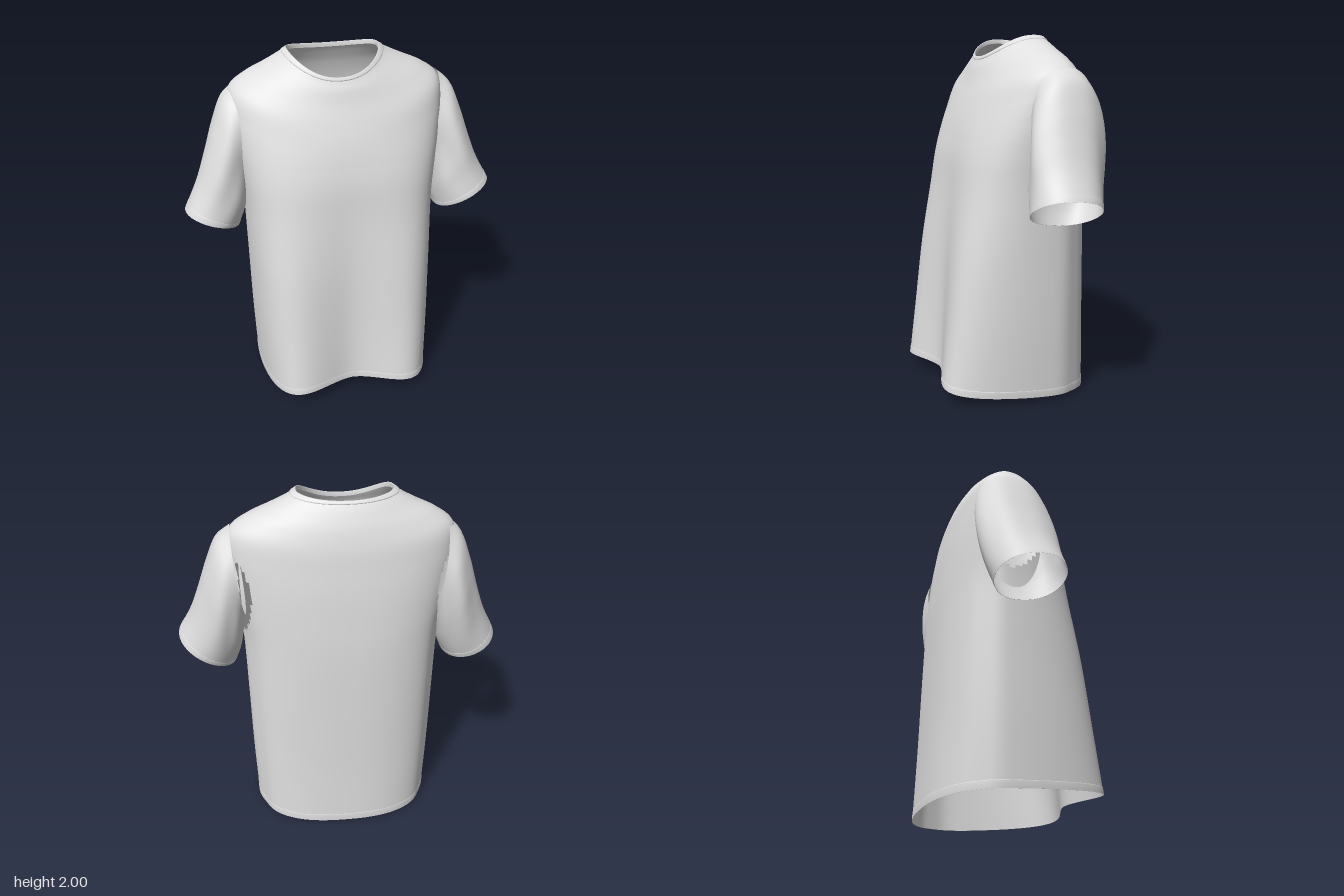
import * as THREE from 'three';

const fabric = new THREE.MeshStandardMaterial({ color: 0xdfdfdf, side: THREE.DoubleSide });
fabric.name = 'light grey fabric';

// Skin a list of closed rings with smooth normals, leaving out faces inside an opening
function loft(name, rings, isOpen = () => false) {
  const n = rings[0].length, points = rings.flat(), index = [];
  for (let i = 0; i < rings.length - 1; i++) {
    for (let j = 0; j < n; j++) {
      const a = i * n + j, b = i * n + (j + 1) % n;
      if (!isOpen(points[a])) index.push(a, b, b + n, a, b + n, a + n);
    }
  }
  const geometry = new THREE.BufferGeometry().setFromPoints(points);
  geometry.setIndex(index);
  geometry.computeVertexNormals();
  const mesh = new THREE.Mesh(geometry, fabric);
  mesh.name = name;
  return mesh;
}

// Smooth interpolation through rows of section parameters
function sampler(rows) {
  const cubic = new THREE.CubicInterpolant(rows.map((_, i) => i), rows.flat(), rows[0].length);
  return t => Array.from(cubic.evaluate(Math.min(t, rows.length - 1)));
}

// Steps from a to b, inclusive
const steps = (a, b, n) => Array.from({ length: n + 1 }, (_, i) => a + (b - a) * i / n);
const signedPow = (v, p) => Math.sign(v) * Math.abs(v) ** p;

// Torso: side y, front y, back y, half width, middle z, front z, back z, front folds, squareness
const torsoRows = [
  [0.025, 0.088, 0.003, 0.52, -0.1, 0.365, -0.448, 0.16, 0.8],
  [0.4, 0.42, 0.4, 0.532, -0.1, 0.35, -0.435, 0.125, 0.8],
  [0.8, 0.8, 0.8, 0.538, -0.1, 0.33, -0.427, 0.09, 0.8],
  [1.15, 1.13, 1.15, 0.545, -0.1, 0.303, -0.417, 0.05, 0.8],
  [1.35, 1.32, 1.36, 0.563, -0.11, 0.287, -0.402, 0.025, 0.79],
  [1.51, 1.45, 1.51, 0.584, -0.12, 0.262, -0.388, 0.01, 0.82],
  [1.68, 1.56, 1.63, 0.602, -0.135, 0.232, -0.372, 0, 0.9],
  [1.8, 1.66, 1.74, 0.585, -0.14, 0.195, -0.355, 0, 0.95],
  [1.872, 1.75, 1.835, 0.495, -0.14, 0.158, -0.328, 0, 1],
  [1.923, 1.82, 1.903, 0.385, -0.14, 0.133, -0.297, 0, 1],
  [1.962, 1.855, 1.943, 0.305, -0.14, 0.115, -0.273, 0, 0.95],
  [1.993, 1.883, 1.968, 0.252, -0.13, 0.1, -0.253, 0, 0.9],
];
const torsoAt = sampler(torsoRows);

function torsoRing(t, grow = 0, lift = 0) {
  const [ySide, yFront, yBack, w, zMid, zFront, zBack, fold, p] = torsoAt(t);
  const shift = -0.014 - 0.016 * THREE.MathUtils.smoothstep(t, 7, 11);
  const drape = 1 - THREE.MathUtils.smoothstep(t, 2, 6);
  const slope = 1 + THREE.MathUtils.smoothstep(t, 0, 5);
  return steps(0, Math.PI * 2, 120).slice(0, -1).map(a => {
    const s = Math.sin(a), c = Math.cos(a);
    const zEnd = c > 0 ? zFront + grow : zBack - grow;
    let z = zMid + (zEnd - zMid) * Math.abs(c) ** p;
    // two soft lobes hang down the front, one shallow valley down each side
    if (c > 0) z += fold * Math.abs(Math.sin(2 * a)) ** 1.3;
    const valley = 0.012 * drape * Math.exp(-(((c + 0.4) / 0.18) ** 2));
    const x = shift + (w + grow - valley) * signedPow(s, p);
    const y = ySide + ((c > 0 ? yFront : yBack) - ySide) * Math.abs(c) ** slope + lift;
    return new THREE.Vector3(x, y, z);
  });
}

// Armholes where the sleeves join
const inArmhole = ({ x, y, z }) =>
  Math.abs(x) > 0.4 && ((y - 1.47) / 0.26) ** 2 + ((z + 0.13) / 0.16) ** 2 < 1;

// Sleeve: outer x, y, inner x, y, centre z, half depth
const sleeveRows = [
  [0.565, 1.818, 0.51, 1.32, -0.14, 0.185],
  [0.645, 1.748, 0.52, 1.26, -0.135, 0.203],
  [0.705, 1.61, 0.53, 1.2, -0.122, 0.212],
  [0.757, 1.46, 0.541, 1.13, -0.102, 0.21],
  [0.815, 1.31, 0.556, 1.07, -0.083, 0.2],
  [0.89, 1.17, 0.58, 1.003, -0.06, 0.19],
];
const sleeveAt = sampler(sleeveRows);

function sleeveRing(t, side, grow = 0) {
  const [ox, oy, ix, iy, zc, depth] = sleeveAt(t);
  // the right sleeve hangs slightly lower and further back
  const k = t / 5, sag = side < 0 ? k * k : 0;
  const cx = (ox + ix) / 2 + 0.012 * sag, cy = (oy + iy) / 2 - 0.03 * sag;
  const ex = (ox - ix) / 2 - 0.005 * sag, ey = (oy - iy) / 2 - 0.03 * sag;
  return steps(0, Math.PI * 2, 56).slice(0, -1).map(a => {
    const c = Math.cos(a), s = signedPow(Math.sin(a), 0.9) * side;
    // creases gather below the shoulder and relax at the cuff
    const crease = 0.04 * Math.sin(Math.PI * k) * Math.sin(5 * a * side + 1.2 + k * 2) * s * s;
    const r = 1 + grow / depth + crease;
    return new THREE.Vector3(
      side * (cx + ex * c * r),
      cy + ey * c * r + 0.12 * k * depth * s,
      zc - 0.025 * sag + depth * s * r);
  });
}

export function createModel() {
  const shirt = new THREE.Group();
  shirt.name = 'shortSleeveShirt';

  shirt.add(loft('torso', steps(0, 11, 132).map(t => torsoRing(t)), inArmhole));

  // Hem band at the bottom
  const hem = [torsoRing(0), torsoRing(0, 0.002), torsoRing(0.1, 0.002), torsoRing(0.11)];
  shirt.add(loft('hemBand', hem));

  // Thin collar band, folded over the neck edge
  const collar = [
    torsoRing(10.45), torsoRing(10.5, 0.003, 0.002),
    ...steps(10.6, 11, 4).map(t => torsoRing(t, 0.003, 0.003)),
    torsoRing(11, 0, 0.005), torsoRing(11, -0.004, 0.001), torsoRing(11, -0.004, -0.02),
  ];
  shirt.add(loft('collar', collar));

  // Sleeves with cuff bands
  for (const side of [1, -1]) {
    const sleeve = new THREE.Group();
    sleeve.name = side > 0 ? 'leftSleeve' : 'rightSleeve';
    sleeve.add(loft('sleeve', steps(0, 5, 60).map(t => sleeveRing(t, side))));
    sleeve.add(loft('cuffBand', [
      sleeveRing(4.74, side), sleeveRing(4.76, side, 0.002),
      sleeveRing(5, side, 0.002), sleeveRing(5, side),
    ]));
    shirt.add(sleeve);
  }
  return shirt;
}
